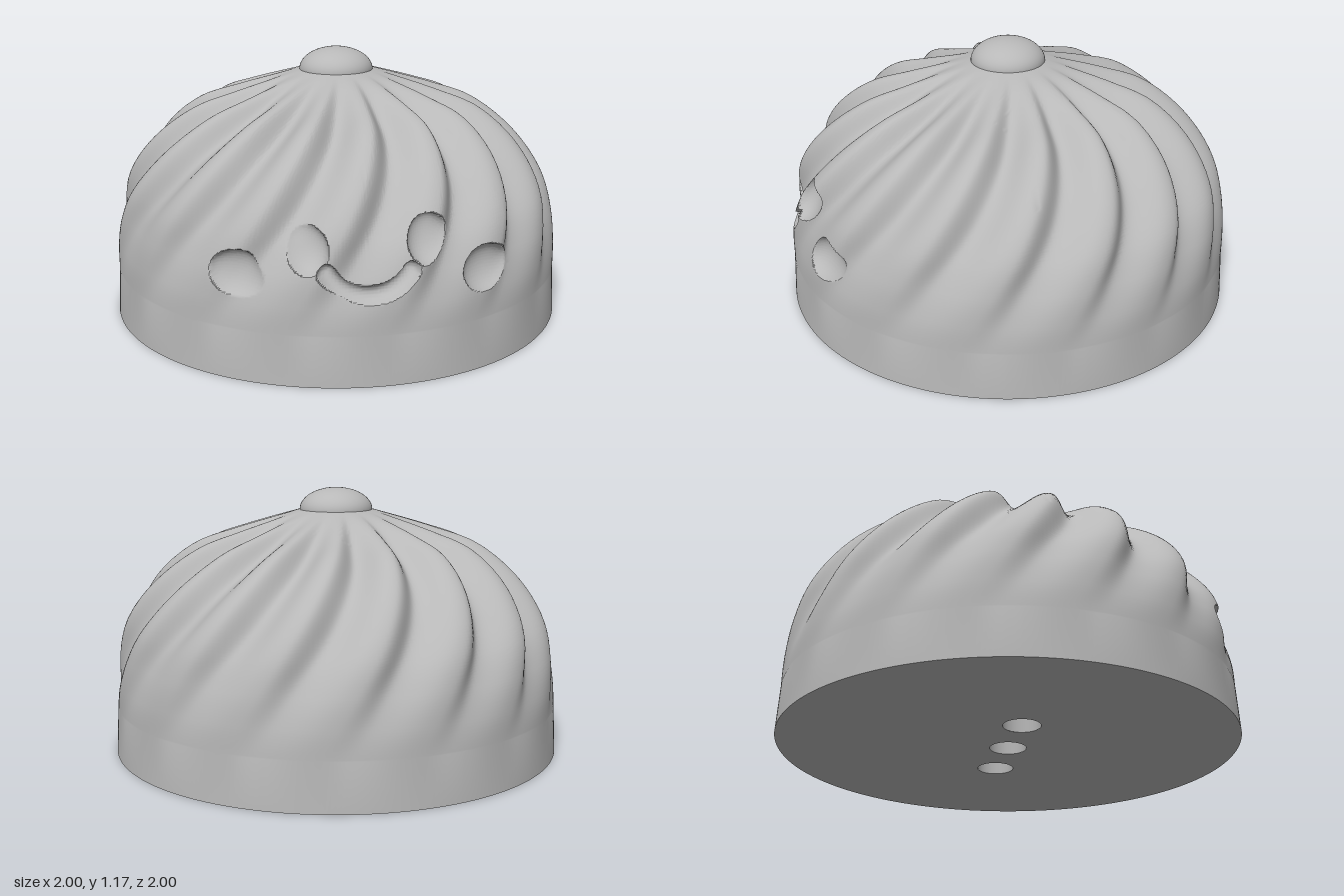
import * as THREE from 'three';
import { toCreasedNormals } from 'three/addons/utils/BufferGeometryUtils.js';

const RIDGES = 16;
const smooth = THREE.MathUtils.smoothstep;

// Crest line of the dome, from the plain band up to the knob
const profile = new THREE.CatmullRomCurve3([
  [0.99, 0.2], [0.988, 0.32], [0.975, 0.45], [0.942, 0.58], [0.875, 0.7],
  [0.768, 0.82], [0.62, 0.925], [0.45, 0.985], [0.3, 1.03], [0.12, 1.08],
].map(([r, y]) => new THREE.Vector3(r, y, 0)));

// Eyes and cheeks: centre x, y and radii of the pressed bowls
const bowls = [
  [-0.24, 0.54, 0.085, 0.095], [0.24, 0.56, 0.088, 0.095],
  [-0.49, 0.425, 0.112, 0.097], [0.49, 0.41, 0.112, 0.092],
];

// Depth of the pressed face below the mean surface; negative lies outside it
function faceDepth(x, y) {
  let depth = -1;
  for (const [cx, cy, rx, ry] of bowls) {
    const q = ((x - cx) / rx) ** 2 + ((y - cy) / ry) ** 2;
    if (q < 1) depth = Math.max(depth, 0.075 * Math.sqrt(1 - q) - 0.022);
  }
  // Smile: round groove along an arc with round ends
  const R = 0.206, cy = 0.575, end = 0.93;
  const t = THREE.MathUtils.clamp(Math.atan2(x, cy - y), -end, end);
  const q = ((x - R * Math.sin(t)) ** 2 + (y - cy + R * Math.cos(t)) ** 2) / 0.038 ** 2;
  if (q < 1) depth = Math.max(depth, 0.055 * Math.sqrt(1 - q) - 0.017);
  return depth;
}

// Lopsided ridge: 1 in the valley, slow rise to the crest, then a steep drop
function valley(turns) {
  const t = turns - Math.floor(turns), crest = 0.64;
  const s = t < crest ? t / crest : (1 - t) / (1 - crest);
  return (0.5 + 0.5 * Math.cos(Math.PI * s)) ** 1.15;
}

// Swirled dome as a grid, with finer rows and columns across the face
function domeGeometry() {
  const angles = [];
  const fine = 220, coarse = 240, half = 0.68;
  for (let i = 0; i < fine; i++) angles.push(-half + (2 * half * i) / fine);
  for (let i = 0; i < coarse; i++) angles.push(half + ((2 * Math.PI - 2 * half) * i) / coarse);
  const low = 88, high = 60, split = 0.36, n = angles.length, pos = [], index = [];

  // Foot of the plain band
  for (const a of angles) pos.push(Math.sin(a), 0, Math.cos(a));

  for (let j = 0; j <= low + high; j++) {
    const u = j < low ? (split * j) / low : split + ((1 - split) * (j - low)) / high;
    const p = profile.getPointAt(u), tan = profile.getTangentAt(u);
    const strength = 0.078 * smooth(p.y, 0.16, 0.72) * smooth(p.x, 0.17, 0.68);
    for (const a of angles) {
      const turns = (RIDGES * (a - 0.2 - 0.62 * (p.y - 0.88))) / (2 * Math.PI);
      const inset = j ? strength * valley(turns) : 0;
      let r = p.x - tan.y * inset;
      const y = p.y + tan.x * inset;
      if (Math.cos(a) > 0.6) r = Math.min(r, p.x - 0.4 * strength - faceDepth(r * Math.sin(a), y));
      pos.push(r * Math.sin(a), y, r * Math.cos(a));
    }
  }
  for (let j = 0; j <= low + high; j++) {
    for (let i = 0; i < n; i++) {
      const k = (i + 1) % n, a = j * n + i, b = j * n + k, c = a + n, d = b + n;
      index.push(a, b, d, a, d, c);
    }
  }
  const g = new THREE.BufferGeometry();
  g.setAttribute('position', new THREE.Float32BufferAttribute(pos, 3));
  g.setIndex(index);
  return toCreasedNormals(g, 0.6);
}

export function createModel() {
  const model = new THREE.Group();
  const grey = new THREE.MeshStandardMaterial({ color: 0xb8b8b8 });
  grey.name = 'grey';
  const greyInside = grey.clone();
  greyInside.side = THREE.BackSide;
  const add = (name, geometry, material = grey) => {
    const mesh = new THREE.Mesh(geometry, material);
    mesh.name = name;
    model.add(mesh);
    return mesh;
  };

  add('swirledDome', domeGeometry());

  // Knob on top
  const knob = add('topKnob', new THREE.SphereGeometry(0.163, 48, 16, 0, Math.PI * 2, 0, Math.PI / 2));
  knob.scale.y = 0.6;
  knob.position.y = 1.068;

  // Underside with three round recesses
  const holeR = 0.08, depth = 0.06;
  const disc = new THREE.Shape().absarc(0, 0, 1, 0, Math.PI * 2);
  for (const x of [-0.29, 0, 0.29]) {
    disc.holes.push(new THREE.Path().absarc(x, 0, holeR, 0, Math.PI * 2, true));
    add('recessWall', new THREE.CylinderGeometry(holeR, holeR, depth, 40, 1, true), greyInside)
      .position.set(x, depth / 2, 0);
    const end = add('recessEnd', new THREE.CircleGeometry(holeR, 40));
    end.rotation.x = Math.PI / 2;
    end.position.set(x, depth, 0);
  }
  add('underside', new THREE.ShapeGeometry(disc, 80)).rotation.x = Math.PI / 2;

  return model;
}
